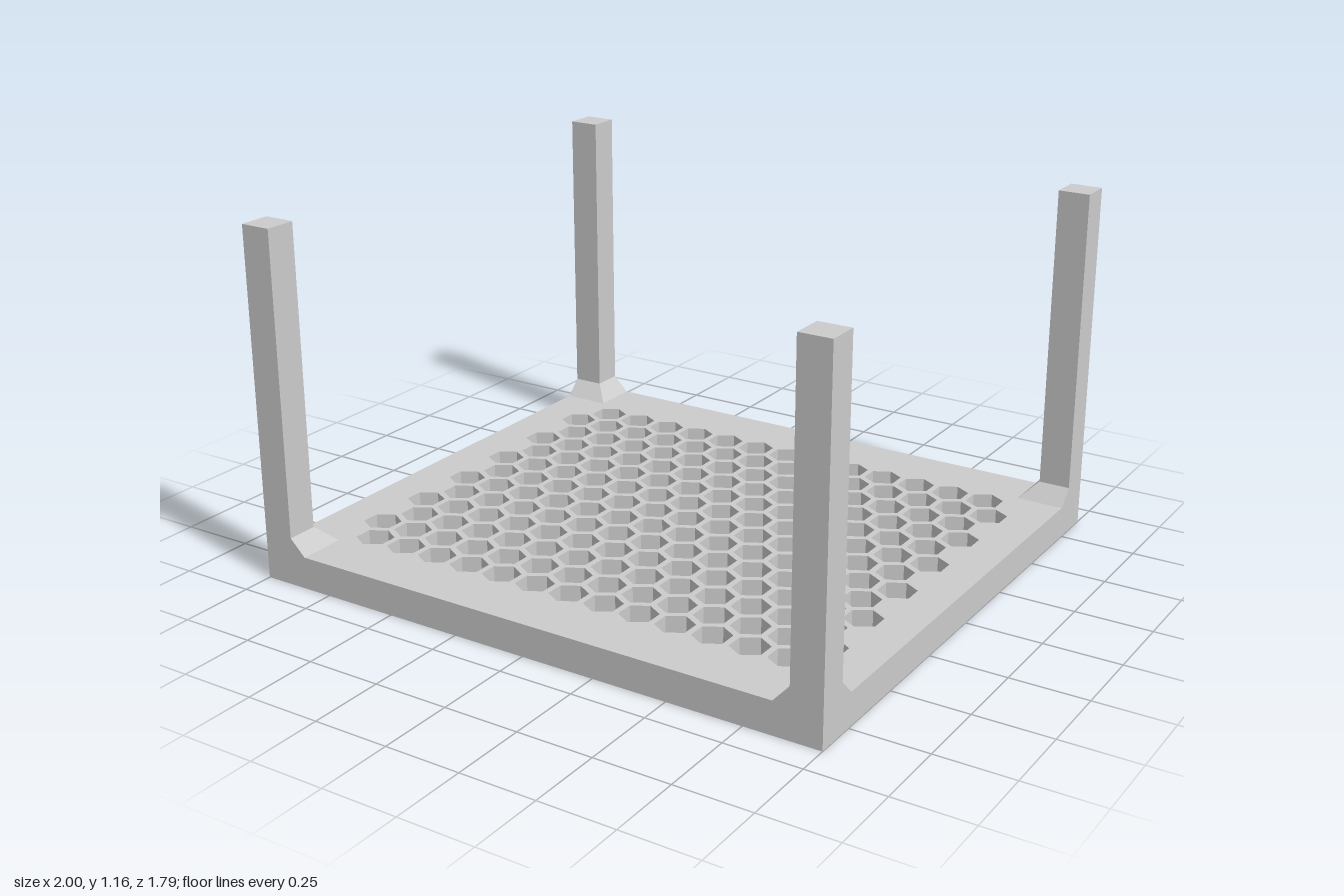
import * as THREE from 'three';

const HALF_X = 1, HALF_Z = 0.895;
const PLATE = 0.107, HEIGHT = 1.16;
const POST = 0.104, FLARE = 0.053;
const PITCH = 0.1265, HOLE_R = 0.0613, ROWS = 13;

const material = new THREE.MeshStandardMaterial({ color: 0xcccccc, flatShading: true });

// Pointy-topped hexagonal hole
function hexagon(cx, cy) {
  const points = [];
  for (let i = 0; i < 6; i++) {
    const a = Math.PI / 2 - i * Math.PI / 3;
    points.push(new THREE.Vector2(cx + HOLE_R * Math.cos(a), cy + HOLE_R * Math.sin(a)));
  }
  return new THREE.Path(points);
}

// Flat plate pierced by staggered rows of 13 and 14 hexagons
function createPlate() {
  const shape = new THREE.Shape([
    new THREE.Vector2(-HALF_X, -HALF_Z), new THREE.Vector2(HALF_X, -HALF_Z),
    new THREE.Vector2(HALF_X, HALF_Z), new THREE.Vector2(-HALF_X, HALF_Z),
  ]);
  for (let row = 0; row < ROWS; row++) {
    const count = 13 + row % 2;
    const y = (row - (ROWS - 1) / 2) * PITCH * Math.sqrt(3) / 2;
    for (let i = 0; i < count; i++) {
      shape.holes.push(hexagon((i - (count - 1) / 2) * PITCH, y));
    }
  }
  const geometry = new THREE.ExtrudeGeometry(shape, { depth: PLATE, bevelEnabled: false });
  geometry.rotateX(-Math.PI / 2);
  const plate = new THREE.Mesh(geometry, material);
  plate.name = 'perforatedPlate';
  return plate;
}

// Square corner post whose two inner faces flare out at the foot
function createPost(sx, sz) {
  const box = new THREE.BoxGeometry(1, 2, 1, 1, 2, 1);
  const p = box.attributes.position;
  const levels = [PLATE, PLATE + FLARE, HEIGHT];
  for (let i = 0; i < p.count; i++) {
    const level = Math.round(p.getY(i)) + 1;
    const width = POST + (level === 0 ? FLARE : 0);
    const x = p.getX(i) * sx > 0 ? HALF_X : HALF_X - width;
    const z = p.getZ(i) * sz > 0 ? HALF_Z : HALF_Z - width;
    p.setXYZ(i, sx * x, levels[level], sz * z);
  }
  const geometry = box.toNonIndexed();
  geometry.computeVertexNormals();
  const post = new THREE.Mesh(geometry, material);
  post.name = (sz > 0 ? 'front' : 'back') + (sx > 0 ? 'Left' : 'Right') + 'Post';
  return post;
}

export function createModel() {
  const group = new THREE.Group();
  group.name = 'stackingTray';
  group.add(createPlate());
  for (const sx of [-1, 1]) {
    for (const sz of [-1, 1]) group.add(createPost(sx, sz));
  }
  return group;
}
